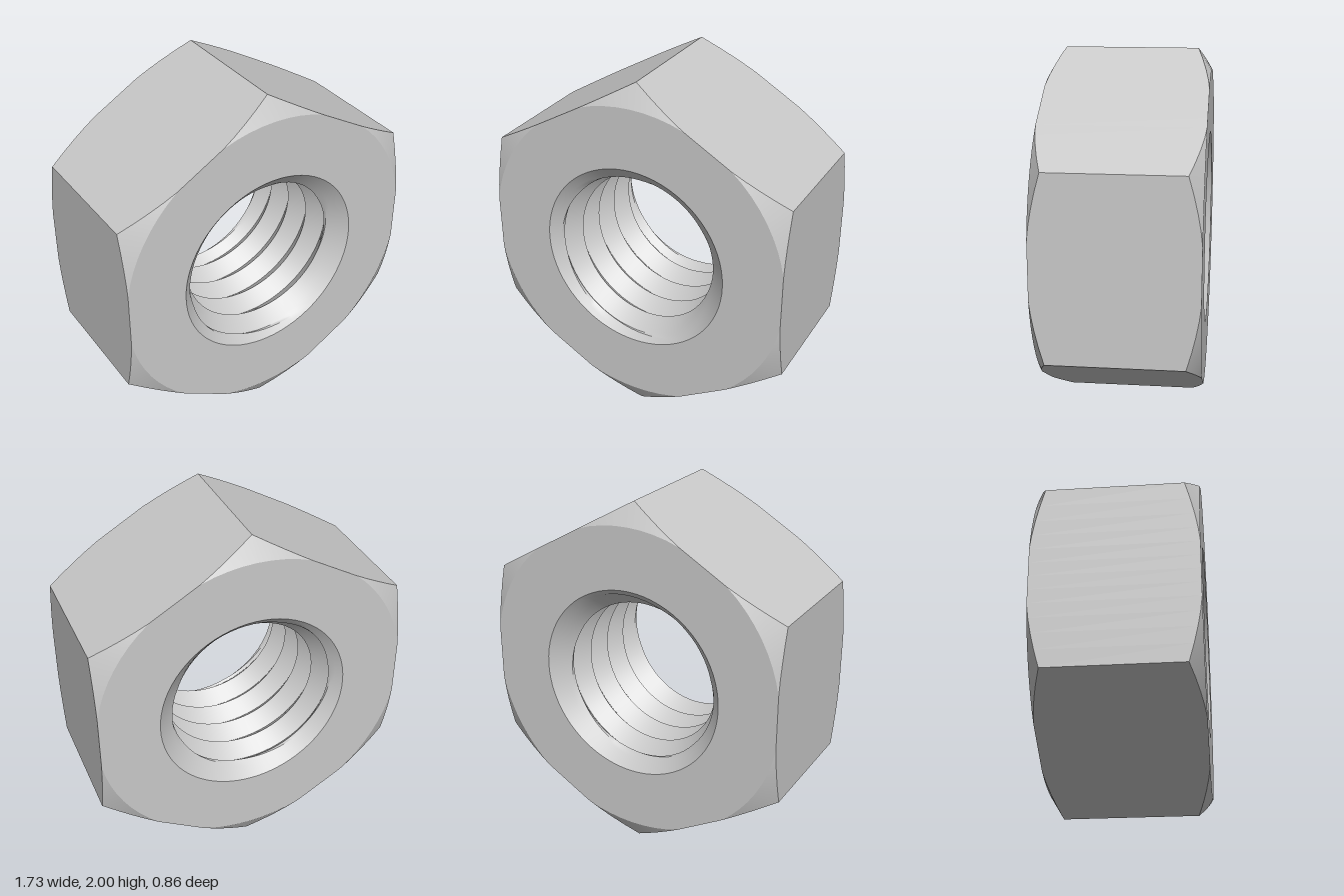
import * as THREE from 'three';
import { toCreasedNormals } from 'three/addons/utils/BufferGeometryUtils.js';

const HALF = 0.43;      // half thickness
const APOTHEM = 0.866;  // centre to flat
const MOUTH = 0.535;    // bore radius at the two faces
const MINOR = 0.425, MAJOR = 0.5, PITCH = 0.17;
const SEGMENTS = 72;

// Skin between rings: point(row, column) gives [radius, angle, z]
function skin(rows, columns, point) {
  const positions = [];
  const at = (i, j) => {
    const [r, a, z] = point(i, j);
    return new THREE.Vector3(r * Math.cos(a), r * Math.sin(a), z);
  };
  const ab = new THREE.Vector3(), ac = new THREE.Vector3();
  const triangle = (a, b, c) => {
    ab.subVectors(b, a);
    ac.subVectors(c, a);
    if (ab.cross(ac).length() < 1e-8) return;
    for (const p of [a, b, c]) positions.push(p.x, p.y, p.z);
  };
  for (let i = 0; i < rows; i++) {
    for (let j = 0; j < columns; j++) {
      const a = at(i, j), b = at(i + 1, j), c = at(i + 1, j + 1), d = at(i, j + 1);
      triangle(a, b, c);
      triangle(a, c, d);
    }
  }
  const geometry = new THREE.BufferGeometry();
  geometry.setAttribute('position', new THREE.Float32BufferAttribute(positions, 3));
  return toCreasedNormals(geometry, 0.4);
}

// Hexagon with a corner at the top and both faces chamfered by a cone
function bodyGeometry() {
  return skin(5, SEGMENTS, (i, j) => {
    const angle = (j / SEGMENTS) * Math.PI * 2;
    const sector = (j % 12) / 12 * Math.PI / 3;
    const fromFlat = sector > Math.PI / 6 ? sector - Math.PI / 3 : sector;
    const hex = APOTHEM / Math.cos(fromFlat);
    const flatEdge = Math.min(hex, 0.88);
    const drop = (hex - flatEdge) * 0.6;
    const ring = [
      [MOUTH, HALF], [flatEdge, HALF], [hex, HALF - drop],
      [hex, drop - HALF], [flatEdge, -HALF], [MOUTH, -HALF],
    ][i];
    return [ring[0], angle, ring[1]];
  });
}

// Right-handed V thread, opening into a countersink at each end
function threadGeometry() {
  const steps = 12;
  const turns = Math.ceil((2 * HALF) / PITCH) + 2;
  return skin(turns * steps, SEGMENTS, (i, j) => {
    const turn = j / SEGMENTS;
    const along = (i / steps - turns / 2 - 0.5 + turn) * PITCH;
    const z = THREE.MathUtils.clamp(along, -HALF, HALF);
    const wave = Math.abs(((i % steps) / steps) * 2 - 1);
    const thread = MINOR + (MAJOR - MINOR) * wave;
    const countersink = MOUTH - (HALF - Math.abs(z)) * 1.1;
    const atEnd = Math.abs(along) >= HALF;
    return [atEnd ? MOUTH : Math.max(thread, countersink), turn * Math.PI * 2, z];
  });
}

export function createModel() {
  const steel = new THREE.MeshStandardMaterial({ color: 0xc8c8c8 });
  steel.name = 'steel grey';

  const nut = new THREE.Group();
  nut.name = 'hexNut';
  const parts = { hexBody: bodyGeometry(), threadedBore: threadGeometry() };
  for (const [name, geometry] of Object.entries(parts)) {
    const mesh = new THREE.Mesh(geometry, steel);
    mesh.name = name;
    mesh.position.y = 1;
    nut.add(mesh);
  }
  return nut;
}
